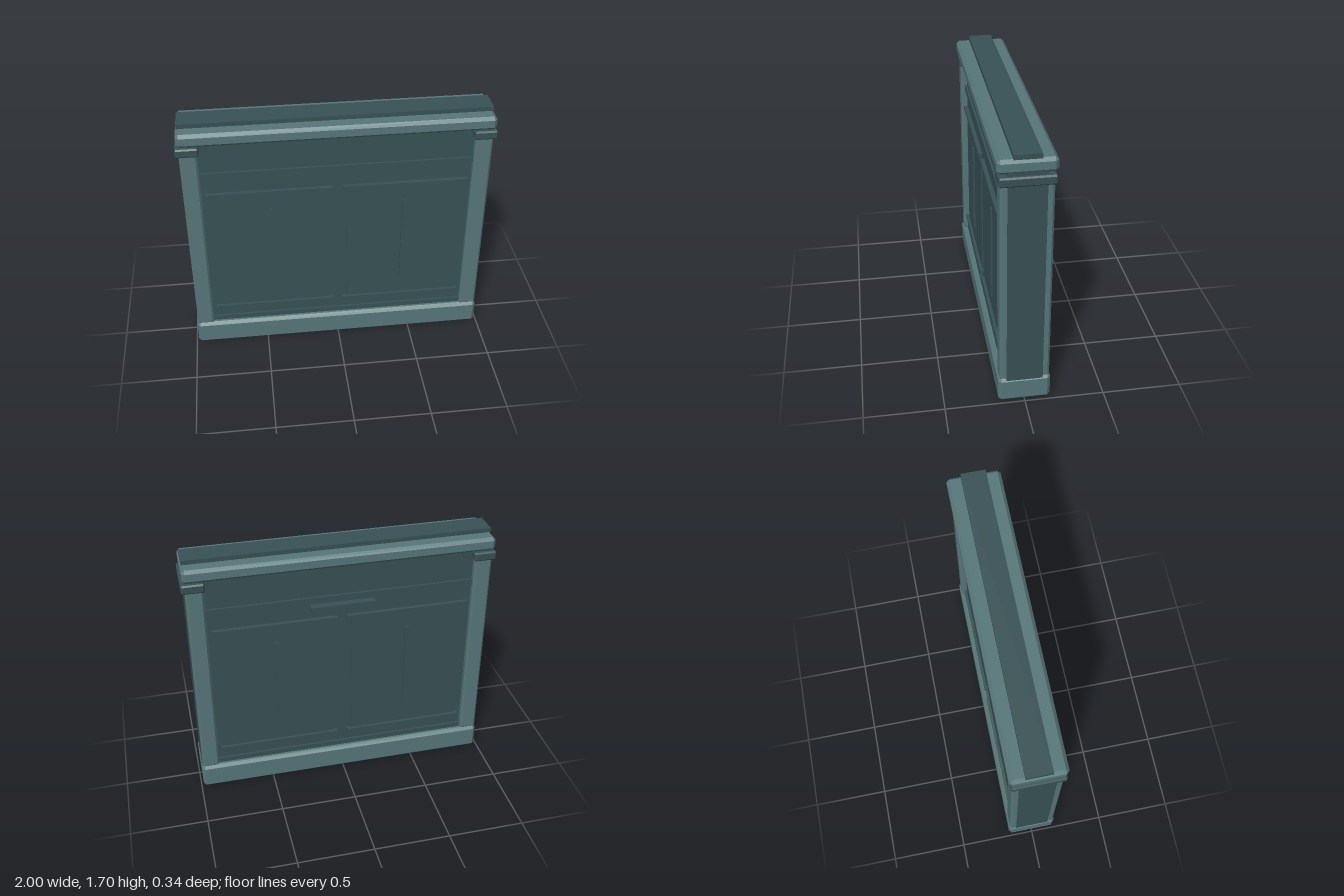
import * as THREE from 'three';
import { ConvexGeometry } from 'three/addons/geometries/ConvexGeometry.js';

// Box with flat chamfers on every edge: three corner points per corner
function chamferBox(w, h, d, c) {
  const pts = [];
  for (const sx of [-1, 1]) for (const sy of [-1, 1]) for (const sz of [-1, 1]) {
    const x = w / 2, y = h / 2, z = d / 2;
    pts.push(
      new THREE.Vector3(sx * x, sy * (y - c), sz * (z - c)),
      new THREE.Vector3(sx * (x - c), sy * y, sz * (z - c)),
      new THREE.Vector3(sx * (x - c), sy * (y - c), sz * z));
  }
  return new ConvexGeometry(pts);
}

export function createModel() {
  const model = new THREE.Group();
  model.name = 'panelledWall';
  const light = new THREE.MeshStandardMaterial({ color: 0x567679 });
  light.name = 'light teal';
  const dark = new THREE.MeshStandardMaterial({ color: 0x385155 });
  dark.name = 'dark teal';

  // Adds a box given by its min/max extents, chamfered when c > 0
  function block(parent, name, mat, [x0, x1], [y0, y1], [z0, z1], c = 0) {
    const w = x1 - x0, h = y1 - y0, d = z1 - z0;
    const geo = c ? chamferBox(w, h, d, c) : new THREE.BoxGeometry(w, h, d);
    const mesh = new THREE.Mesh(geo, mat);
    mesh.name = name;
    mesh.position.set((x0 + x1) / 2, (y0 + y1) / 2, (z0 + z1) / 2);
    parent.add(mesh);
    return mesh;
  }

  // Main horizontal layers
  block(model, 'base', light, [-0.985, 0.985], [0, 0.17], [-0.163, 0.163], 0.02);
  block(model, 'wallCore', dark, [-0.98, 0.98], [0.15, 1.6], [-0.113, 0.113]);
  block(model, 'cap', light, [-0.988, 0.988], [1.583, 1.672], [-0.172, 0.172], 0.02);
  block(model, 'topPlate', dark, [-0.98, 0.98], [1.67, 1.7], [-0.08, 0.08]);

  // End posts with collars
  for (const s of [-1, 1]) {
    const span = (a, b) => (s > 0 ? [a, b] : [-b, -a]);
    block(model, 'post', light, span(0.865, 0.978), [0.165, 1.54], [-0.155, 0.155], 0.013);
    block(model, 'postCollar', dark, span(0.855, 1), [1.513, 1.572], [-0.164, 0.164], 0.009);
  }

  // Panelling, the same on both faces
  for (const turn of [0, Math.PI]) {
    const face = new THREE.Group();
    face.name = turn ? 'backPanelling' : 'frontPanelling';
    face.rotation.y = turn;
    block(face, 'upperRail', dark, [-0.865, 0.865], [1.33, 1.37], [0.1, 0.128]);
    block(face, 'lowerRail', dark, [-0.865, 0.865], [0.165, 0.205], [0.1, 0.128]);
    for (const cx of [-0.436, 0.436]) {
      block(face, 'panel', dark, [cx - 0.377, cx + 0.377], [0.29, 1.187], [0.1, 0.121]);
      for (const y of [0.29, 1.205])
        block(face, 'panelMoulding', dark, [cx - 0.404, cx + 0.404], [y - 0.012, y + 0.012], [0.1, 0.14]);
      block(face, 'panelBar', dark, [cx - 0.013, cx + 0.013], [0.42, 1.075], [0.1, 0.133]);
    }
    model.add(face);
  }

  // Grip on the back with a pale underside
  block(model, 'grip', dark, [-0.21, 0.21], [1.275, 1.315], [-0.158, -0.105]);
  block(model, 'gripUnderside', light, [-0.17, 0.17], [1.272, 1.28], [-0.148, -0.126]);

  return model;
}
